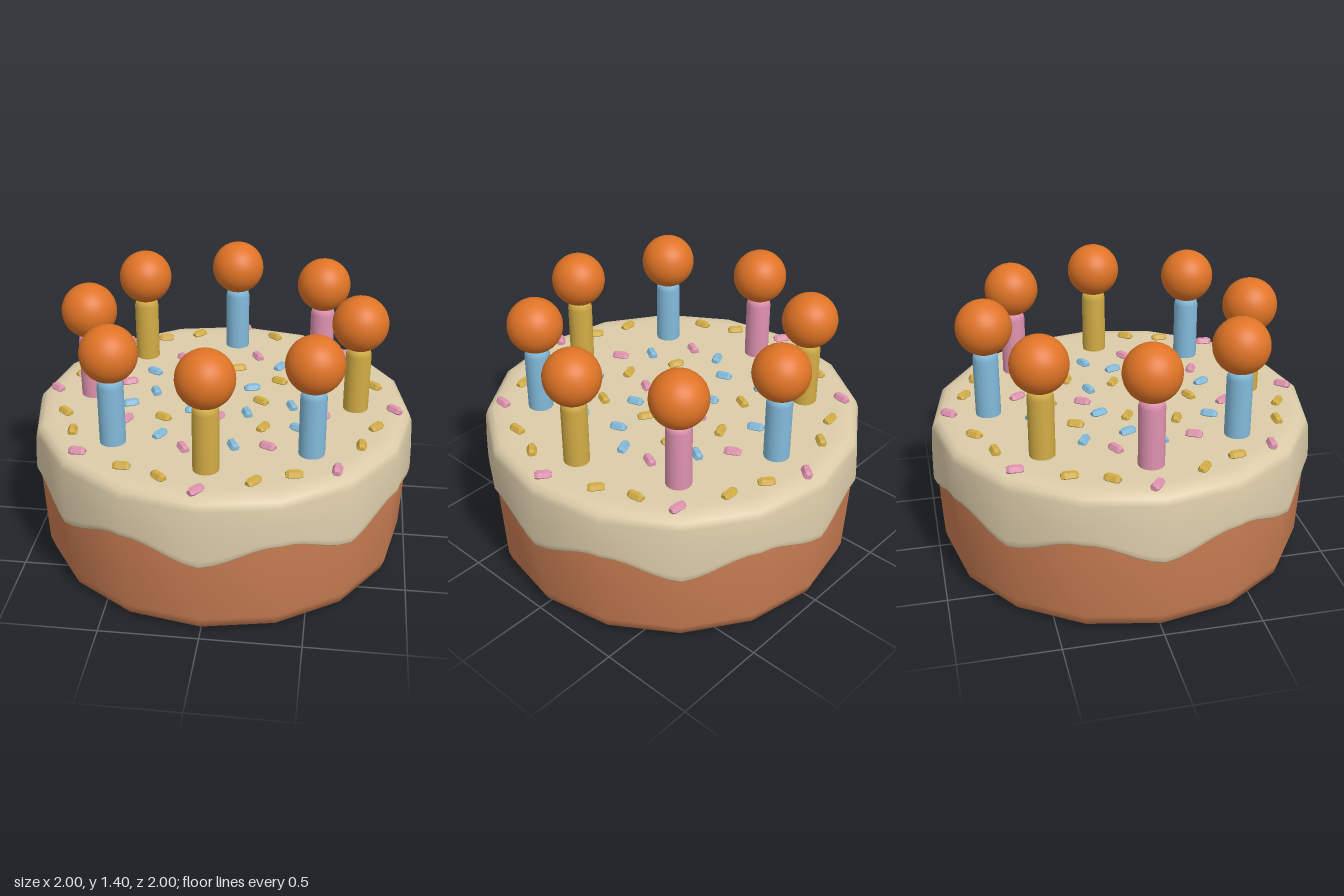
import * as THREE from 'three';

const mat = (name, color) => {
  const m = new THREE.MeshStandardMaterial({ color });
  m.name = name;
  return m;
};

const SIDES = 16;

// Smoothly shaded lathe squeezed to a 16-sided outline; adjust(y, angle) may shift heights
function facetedLathe(profile, adjust = (y) => y) {
  const geo = new THREE.LatheGeometry(profile.map(([r, y]) => new THREE.Vector2(r, y)), SIDES * 6);
  const pos = geo.attributes.position;
  const step = (Math.PI * 2) / SIDES;
  for (let i = 0; i < pos.count; i++) {
    const x = pos.getX(i), y = pos.getY(i), z = pos.getZ(i);
    const a = Math.atan2(x, z);
    const off = a - (Math.floor(a / step + 1e-6) + 0.5) * step;
    const k = Math.cos(step / 2) / Math.cos(off);
    pos.setXYZ(i, x * k, adjust(y, a), z * k);
  }
  return geo;
}

export function createModel() {
  const model = new THREE.Group();
  model.name = 'birthdayCake';
  const sponge = mat('sponge', 0xc67b51);
  const cream = mat('cream', 0xdccca9);
  const flameOrange = mat('flameOrange', 0xe07426);
  const yellow = mat('yellow', 0xd2ac45);
  const pink = mat('pink', 0xdf92af);
  const blue = mat('blue', 0x82bada);

  const add = (parent, name, geo, material) => {
    const mesh = new THREE.Mesh(geo, material);
    mesh.name = name;
    parent.add(mesh);
    return mesh;
  };

  // Sponge body with a rounded foot
  add(model, 'sponge', facetedLathe([
    [0, 0], [0.86, 0], [0.9, 0.004], [0.945, 0.03], [0.962, 0.085],
    [0.972, 0.3], [0.981, 0.55], [0.95, 0.7],
  ]), sponge);

  // Icing whose lower lip waves eight times around the cake
  const wave = (y, a) => {
    const t = THREE.MathUtils.clamp((0.72 - y) / 0.24, 0, 1);
    return y - 0.05 * t * Math.cos(8 * a);
  };
  add(model, 'icing', facetedLathe([
    [0.96, 0.475], [0.99, 0.465], [0.999, 0.475], [1, 0.5], [0.997, 0.6],
    [0.988, 0.72], [0.975, 0.755], [0.945, 0.773], [0.9, 0.78], [0.86, 0.78], [0, 0.78],
  ], wave), cream);

  // Eight candles, counted from the front towards +x
  const stickGeo = new THREE.LatheGeometry(
    [[0.065, 0.74], [0.065, 1.09], [0.055, 1.13], [0, 1.13]].map(([r, y]) => new THREE.Vector2(r, y)), 20);
  const flameGeo = new THREE.SphereGeometry(0.142, 32, 20);
  const candles = new THREE.Group();
  candles.name = 'candles';
  model.add(candles);
  [yellow, blue, yellow, pink, blue, yellow, pink, blue].forEach((color, i) => {
    const a = (i * Math.PI) / 4;
    const candle = new THREE.Group();
    candle.name = 'candle';
    candle.position.set(0.693 * Math.sin(a), 0, 0.693 * Math.cos(a));
    add(candle, 'candleStick', stickGeo, color);
    add(candle, 'flameBall', flameGeo, flameOrange).position.y = 1.256;
    candles.add(candle);
  });

  // Chunky six-sided sprinkle lying along x
  const sprinkleGeo = new THREE.LatheGeometry(
    [[0, -0.042], [0.016, -0.042], [0.025, -0.026], [0.025, 0.026], [0.016, 0.042], [0, 0.042]]
      .map(([r, y]) => new THREE.Vector2(r, y)), 6).rotateZ(-Math.PI / 2).toNonIndexed();
  sprinkleGeo.computeVertexNormals();

  // One quarter of the sprinkles: x, z, turn in degrees, colour, colour on odd quarters
  const quarter = [
    [0.02, -0.895, 50, pink],
    [0.21, -0.80, -40, yellow],
    [0.40, -0.73, 0, yellow],
    [0.64, -0.62, -5, pink],
    [0.71, -0.42, -82, yellow],
    [0.79, -0.235, -40, yellow],
    [0.135, -0.525, -60, pink],
    [0.27, -0.41, 60, blue],
    [0.465, -0.275, 65, pink],
    [0.475, -0.105, 25, blue],
    [0.04, -0.365, 22, yellow, blue],
    [0.28, -0.235, -25, yellow],
    [0.005, -0.20, 58, pink, yellow],
    [0.14, -0.14, 20, blue],
  ];
  const sprinkles = new THREE.Group();
  sprinkles.name = 'sprinkles';
  model.add(sprinkles);
  for (let q = 0; q < 4; q++) {
    const group = new THREE.Group();
    group.name = 'sprinkleQuarter';
    group.rotation.y = (-q * Math.PI) / 2;
    quarter.forEach(([x, z, turn, even, odd = even]) => {
      const s = add(group, 'sprinkle', sprinkleGeo, q % 2 ? odd : even);
      s.position.set(x, 0.785, z);
      s.rotation.y = THREE.MathUtils.degToRad(turn);
    });
    sprinkles.add(group);
  }
  return model;
}
